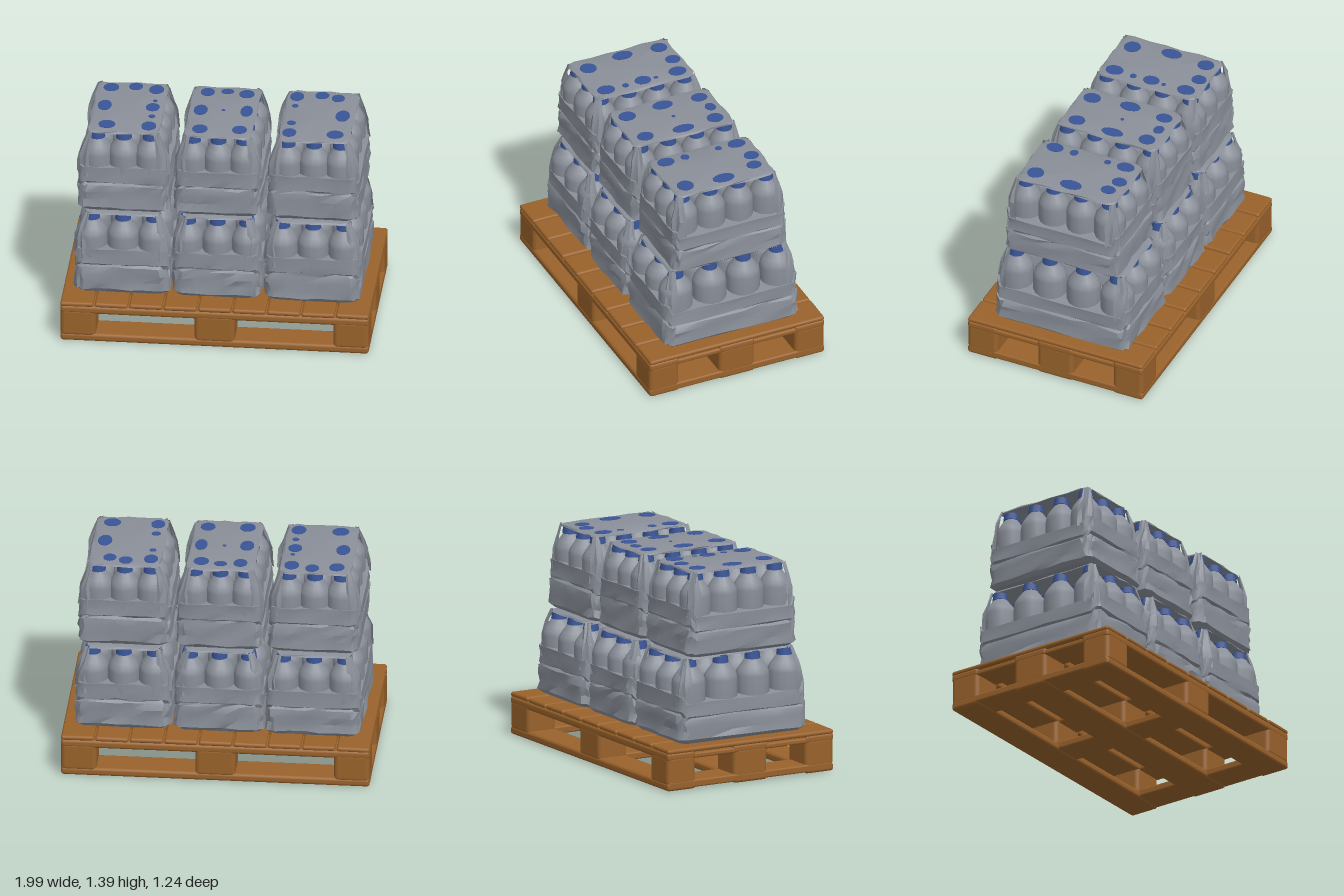
import * as THREE from 'three';
import { toCreasedNormals } from 'three/addons/utils/BufferGeometryUtils.js';
import { RoundedBoxGeometry } from 'three/addons/geometries/RoundedBoxGeometry.js';

const wood = new THREE.MeshStandardMaterial({ color: 0x99622b });
wood.name = 'wood';
const film = new THREE.MeshStandardMaterial({ color: 0x8a8f99, side: THREE.DoubleSide });
film.name = 'greyFilm';
const blue = new THREE.MeshStandardMaterial({ color: 0x395496 });
blue.name = 'capBlue';

// Seeded noise in -1..1 for wrinkles
let seed = 7;
const noise = () => {
  seed = (seed * 16807) % 2147483647;
  return (seed / 2147483647) * 2 - 1;
};

function add(parent, name, geo, mat, x = 0, y = 0, z = 0) {
  const m = new THREE.Mesh(geo, mat);
  m.name = name;
  m.position.set(x, y, z);
  parent.add(m);
  return m;
}

// Rounded rectangle as [x, z] points, with side points between the corner arcs
function outline(hx, hz, r, arc = 4, side = 5) {
  const pts = [];
  const corners = [[1, 1], [-1, 1], [-1, -1], [1, -1]];
  corners.forEach(([sx, sz], q) => {
    for (let i = 0; i <= arc; i++) {
      const t = (q + i / arc) * Math.PI / 2;
      pts.push([sx * (hx - r) + r * Math.cos(t), sz * (hz - r) + r * Math.sin(t)]);
    }
    const a = pts[pts.length - 1];
    const next = [[-hx + r, hz], [-hx, -hz + r], [hx - r, -hz], [hx, hz - r]][q];
    for (let i = 1; i < side; i++) {
      const k = i / side;
      pts.push([a[0] + (next[0] - a[0]) * k, a[1] + (next[1] - a[1]) * k]);
    }
  });
  return pts;
}

// Skin a stack of rings (arrays of [x, y, z]); closed loops get end caps
function loft(rings, closed = true) {
  const n = rings[0].length, pos = rings.flat(2), idx = [];
  for (let j = 0; j < rings.length - 1; j++) {
    for (let i = 0; i < (closed ? n : n - 1); i++) {
      const a = j * n + i, b = j * n + (i + 1) % n;
      idx.push(a, a + n, b, b, a + n, b + n);
    }
  }
  if (closed) {
    [0, rings.length - 1].forEach((j, k) => {
      const c = pos.length / 3;
      pos.push(0, rings[j].reduce((s, p) => s + p[1], 0) / n, 0);
      for (let i = 0; i < n; i++) {
        const a = j * n + i, b = j * n + (i + 1) % n;
        if (k === 0) idx.push(c, a, b);
        else idx.push(c, b, a);
      }
    });
  }
  const g = new THREE.BufferGeometry();
  g.setAttribute('position', new THREE.Float32BufferAttribute(pos, 3));
  g.setIndex(idx);
  return toCreasedNormals(g, 0.5);
}

function buildPallet() {
  const g = new THREE.Group();
  g.name = 'pallet';
  const board = (name, w, h, d, x, y, z, r = 0.012) =>
    add(g, name, new RoundedBoxGeometry(w, h, d, 2, r), wood, x, y, z);
  for (const z of [-0.515, 0, 0.515]) {
    const d = z ? 0.21 : 0.25;
    board('bottomRunner', 1.99, 0.055, d, 0, 0.0275, z, 0.02);
    board('topStringer', 1.99, 0.055, d, 0, 0.224, z, 0.02);
    for (const x of [-0.88, 0, 0.88]) board('block', x ? 0.23 : 0.26, 0.2, d, x, 0.13, z, 0.03);
  }
  for (const z of [-0.27, 0.27]) board('innerStringer', 1.9, 0.05, 0.17, 0, 0.225, z);
  for (const x of [-0.89, 0, 0.89]) {
    board('bottomCrossBoard', 0.21, 0.05, 1.22, x, 0.035, 0);
    board('topCrossRail', 0.2, 0.035, 1.22, x, 0.217, 0);
  }
  // Worn deck boards with narrow gaps
  const count = 9, pitch = 2 / count;
  for (let i = 0; i < count; i++) {
    const b = board('deckBoard', pitch - 0.01, 0.032, 1.235, -1 + pitch * (i + 0.5), 0.261 + noise() * 0.002, 0, 0.015);
    b.rotation.z = noise() * 0.015;
  }
  return g;
}

const bottleProfile = [[0.9, 0.2], [1, 0.24], [1, 0.385], [0.95, 0.415], [0.78, 0.445], [0.52, 0.482], [0.44, 0.495], [0.44, 0.5]]
  .map(([r, y]) => new THREE.Vector2(r, y));
const bottleGeo = new THREE.LatheGeometry(bottleProfile, 14);
const capGeo = new THREE.CylinderGeometry(0.045, 0.052, 0.053, 12);

function buildPack({ hx, hz, stepX, stepZ, bottleX, bottleZ, spots }) {
  const g = new THREE.Group();
  g.name = 'bottlePack';

  // Crumpled wrap around the lower half, higher on the short faces
  const steps = [[0, 0.03], [0.025, 0.002], [0.07, 0.008], [0.115, 0.002], [0.155, 0.006], [0.168, 0.016], [0.178, 0.004], [0.225, 0.008], [0.266, 0.006]];
  const rings = steps.map(([y, inset], j) =>
    outline(hx - inset, hz - inset, 0.06).map(([x, z]) => {
      const short = Math.abs(z) > hz * 0.93 ? 1 : 0;
      const w = j === 0 ? 0.003 : j < 6 ? 0.009 : 0.005;
      const lift = short * 0.05 * (y / 0.266);
      return [x + noise() * w, y + lift + (j ? noise() * 0.005 : 0), z + noise() * w];
    }));
  add(g, 'lowerWrap', loft(rings), film);

  // Three by four bottles
  for (let i = 0; i < 3; i++) {
    for (let k = 0; k < 4; k++) {
      const x = (i - 1) * stepX, z = (k - 1.5) * stepZ;
      const b = add(g, 'bottle', bottleGeo, film, x, 0, z);
      b.scale.set(bottleX, 1, bottleZ);
      add(g, 'bottleCap', capGeo, blue, x, 0.518, z);
    }
  }

  // Stretched film over the caps
  const top = [[0.78, 0.87, 0.539], [0.76, 0.85, 0.549], [0.69, 0.77, 0.554]].map(([a, b, y], j) =>
    outline(hx * a, hz * b, 0.05).map(([x, z]) => {
      const w = j < 2 ? 0.007 : 0.002;
      return [x + noise() * w, y + (j < 2 ? noise() * 0.003 : 0), z + noise() * w];
    }));
  add(g, 'topFilm', loft(top), film);

  // Film drawn up at the four corners
  const levels = [[0.25, 1, 1, 0.09], [0.32, 0.99, 0.985, 0.085], [0.385, 0.98, 0.975, 0.08], [0.46, 0.89, 0.93, 0.055], [0.548, 0.78, 0.87, 0.035]];
  for (const sx of [-1, 1]) {
    for (const sz of [-1, 1]) {
      const strip = levels.map(([y, a, b, r]) => {
        const row = [];
        for (let i = 0; i <= 5; i++) {
          const t = (i / 5) * Math.PI / 2;
          const rr = r * (1 - 0.12 * (i % 2));
          row.push([
            sx * (hx * a - r + rr * Math.cos(t)) + noise() * 0.006,
            y + noise() * 0.006,
            sz * (hz * b - r + rr * Math.sin(t)) + noise() * 0.006]);
        }
        return sx * sz > 0 ? row : row.reverse();
      });
      add(g, 'cornerFilm', loft(strip, false), film);
    }
  }

  // Caps showing through the top film: x, z, half width, half depth
  for (const [x, z, rx, rz] of spots) {
    const s = add(g, 'capSpot', new THREE.CylinderGeometry(1, 1, 0.004, 14), blue, x, 0.5545, z);
    s.scale.set(rx, 1, rz);
  }
  return g;
}

export function createModel() {
  const model = new THREE.Group();
  model.name = 'palletOfBottles';
  model.add(buildPallet());

  const spots = [
    [[-0.137, -0.26, 0.05, 0.055], [0.02, -0.285, 0.045, 0.05], [0.155, -0.255, 0.048, 0.06], [-0.155, -0.01, 0.045, 0.07], [0.155, -0.01, 0.045, 0.055],
      [-0.115, 0.25, 0.055, 0.055], [0.155, 0.25, 0.048, 0.06], [0.162, -0.1, 0.015, 0.015], [0.162, 0.115, 0.022, 0.022]],
    [[-0.125, -0.255, 0.045, 0.055], [0.002, -0.275, 0.042, 0.035], [0.128, -0.25, 0.05, 0.055], [-0.145, -0.005, 0.045, 0.07], [0.15, -0.015, 0.04, 0.075],
      [-0.125, 0.255, 0.05, 0.058], [0.13, 0.245, 0.048, 0.055], [0, -0.015, 0.012, 0.012]],
    [[-0.165, -0.25, 0.045, 0.06], [-0.005, -0.28, 0.045, 0.05], [0.1, -0.25, 0.042, 0.05], [0.153, -0.01, 0.046, 0.075],
      [-0.165, 0.25, 0.045, 0.058], [0.13, 0.25, 0.055, 0.055], [-0.165, -0.122, 0.022, 0.022], [-0.165, 0.115, 0.03, 0.028]],
  ];
  [-0.615, -0.005, 0.612].forEach((x, i) => {
    const outer = i !== 1;
    const lower = buildPack({
      hx: outer ? 0.312 : 0.29, hz: 0.475, stepX: outer ? 0.2 : 0.19, stepZ: 0.238,
      bottleX: outer ? 0.102 : 0.097, bottleZ: 0.112, spots: [],
    });
    lower.position.set(x, 0.275, -0.003);
    const upper = buildPack({
      hx: outer ? 0.298 : 0.282, hz: 0.405, stepX: outer ? 0.172 : 0.165, stepZ: 0.197,
      bottleX: outer ? 0.098 : 0.094, bottleZ: 0.102, spots: spots[i],
    });
    upper.position.set(x, 0.834, 0.002);
    model.add(lower, upper);
  });
  return model;
}
